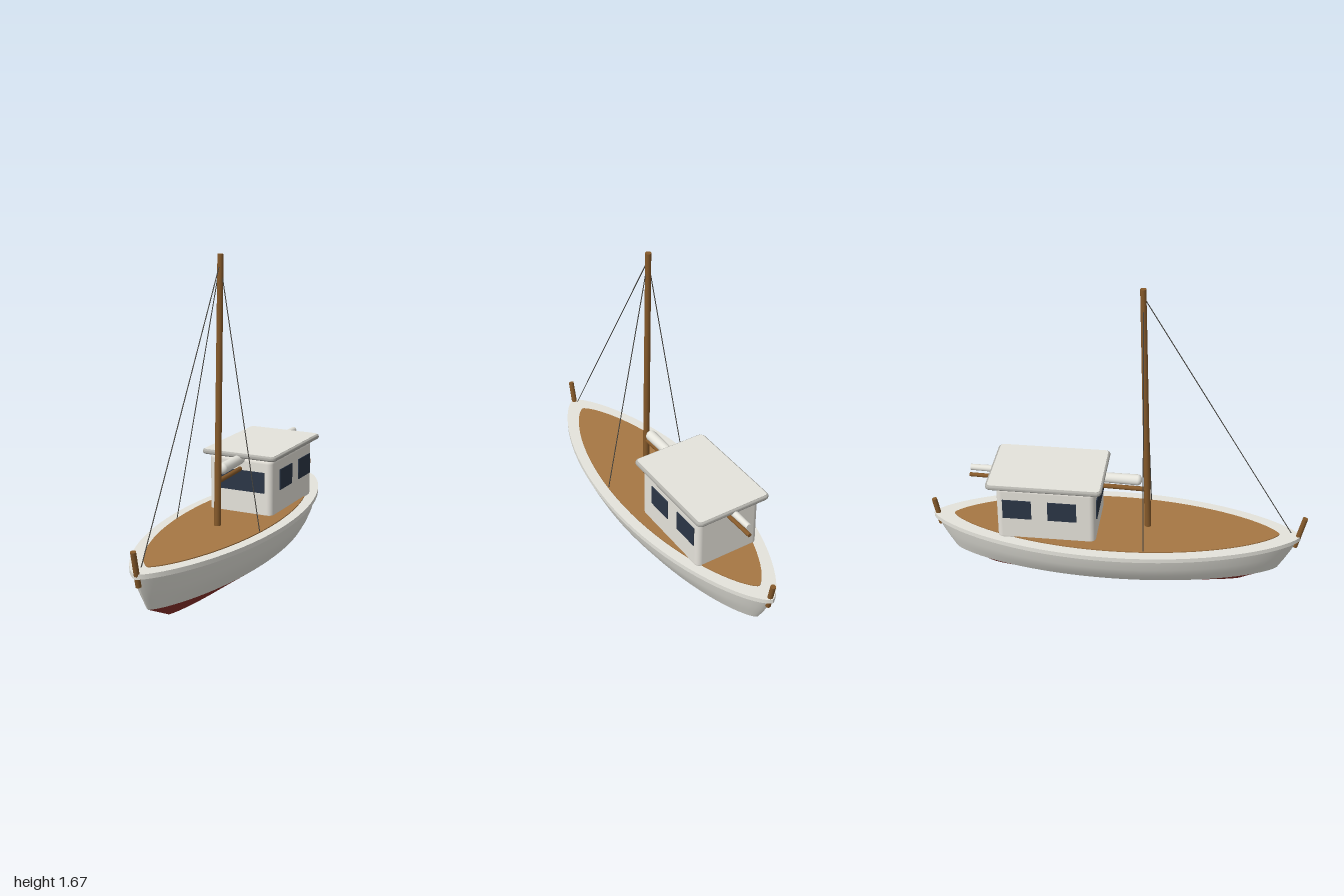
import * as THREE from 'three';
import { toCreasedNormals } from 'three/addons/utils/BufferGeometryUtils.js';
import { RoundedBoxGeometry } from 'three/addons/geometries/RoundedBoxGeometry.js';

const SEGMENTS = 72;
const MID_Z = -0.01;

function material(name, color) {
  const m = new THREE.MeshStandardMaterial({ color });
  m.name = name;
  return m;
}

// Double-ended boat outline: half width, half length -> [x, z] points
function outline(halfWidth, halfLength) {
  const points = [];
  for (let i = 0; i < SEGMENTS; i++) {
    const a = (i / SEGMENTS) * Math.PI * 2;
    const s = Math.sin(a);
    points.push([halfWidth * Math.sign(s) * Math.abs(s) ** 1.44, halfLength * Math.cos(a) + MID_Z]);
  }
  return points;
}

// Skin through levels of [y, halfWidth, halfLength], lowest first
function hullSkin(levels, closeBottom) {
  const positions = [];
  const index = [];
  for (const [y, w, l] of levels) for (const [x, z] of outline(w, l)) positions.push(x, y, z);
  for (let k = 0; k < levels.length - 1; k++) {
    for (let i = 0; i < SEGMENTS; i++) {
      const a = k * SEGMENTS + i;
      const b = k * SEGMENTS + ((i + 1) % SEGMENTS);
      index.push(a, b, b + SEGMENTS, a, b + SEGMENTS, a + SEGMENTS);
    }
  }
  if (closeBottom) {
    const centre = positions.length / 3;
    positions.push(0, levels[0][0], MID_Z);
    for (let i = 0; i < SEGMENTS; i++) index.push(centre, (i + 1) % SEGMENTS, i);
  }
  const g = new THREE.BufferGeometry();
  g.setAttribute('position', new THREE.Float32BufferAttribute(positions, 3));
  g.setIndex(index);
  return toCreasedNormals(g, 0.5);
}

// Horizontal slab from a shape, standing on height y, with an optional rounded edge
function slab(shape, y, height, bevel = 0) {
  const g = new THREE.ExtrudeGeometry(shape, {
    depth: height - 2 * bevel, bevelEnabled: bevel > 0,
    bevelThickness: bevel, bevelSize: bevel, bevelOffset: -bevel, bevelSegments: 4,
  });
  g.rotateX(-Math.PI / 2).translate(0, y + bevel, 0);
  return toCreasedNormals(g, 0.5);
}

function boatShape(halfWidth, halfLength) {
  return new THREE.Shape(outline(halfWidth, halfLength).map(([x, z]) => new THREE.Vector2(x, -z)));
}

function roundedRectangle(w, h, r) {
  const s = new THREE.Shape();
  s.absarc(w / 2 - r, h / 2 - r, r, 0, Math.PI / 2);
  s.absarc(r - w / 2, h / 2 - r, r, Math.PI / 2, Math.PI);
  s.absarc(r - w / 2, r - h / 2, r, Math.PI, Math.PI * 1.5);
  s.absarc(w / 2 - r, r - h / 2, r, Math.PI * 1.5, Math.PI * 2);
  return s;
}

export function createModel() {
  const boat = new THREE.Group();
  boat.name = 'boat';

  const white = material('hull white', 0xe5e4dc);
  const cream = material('cabin cream', 0xe6e3db);
  const grey = material('roof edge grey', 0xb0afa9);
  const red = material('bottom red', 0x8f332d);
  const deckWood = material('deck wood', 0xa67744);
  const sparWood = material('spar wood', 0x85592a);
  const glass = material('window glass', 0x2b3646);
  const rope = material('rope', 0x4a4843);

  function add(name, geometry, mat) {
    const mesh = new THREE.Mesh(geometry, mat);
    mesh.name = name;
    boat.add(mesh);
    return mesh;
  }

  // Round bar between two points
  function bar(name, from, to, rFrom, rTo, mat, sides = 16) {
    const a = new THREE.Vector3(...from);
    const b = new THREE.Vector3(...to);
    const dir = b.clone().sub(a);
    const mesh = add(name, new THREE.CylinderGeometry(rTo, rFrom, dir.length(), sides), mat);
    mesh.position.copy(a).add(b).multiplyScalar(0.5);
    mesh.quaternion.setFromUnitVectors(new THREE.Vector3(0, 1, 0), dir.normalize());
  }

  // Hull, rail and deck
  add('hullBottom', hullSkin([[0, 0.07, 0.68], [0.09, 0.205, 0.87]], true), red);
  add('hullSides', hullSkin([[0.09, 0.205, 0.87], [0.145, 0.243, 0.902], [0.2, 0.27, 0.932], [0.275, 0.29, 0.967]], false), white);
  add('rail', slab(boatShape(0.302, 0.98), 0.273, 0.024), white);
  add('deck', slab(boatShape(0.247, 0.868), 0.297, 0.005), deckWood);

  // Bow and stern posts
  bar('bowPost', [0, 0.23, 0.942], [0, 0.41, 0.985], 0.014, 0.014, sparWood);
  bar('sternPost', [0, 0.23, -0.955], [0, 0.38, -0.985], 0.014, 0.014, sparWood);

  // Cabin, roof slab with its edge, and roof top
  add('cabin', new RoundedBoxGeometry(0.364, 0.33, 0.515, 4, 0.03), cream).position.set(0, 0.44, -0.35);
  add('roofEdge', slab(roundedRectangle(0.424, 0.602, 0.03), 0.6, 0.025, 0.011), grey).position.z = -0.358;
  add('roofTop', slab(roundedRectangle(0.402, 0.58, 0.019), 0.624, 0.003), white).position.z = -0.358;

  // Windows
  add('frontWindow', new THREE.BoxGeometry(0.28, 0.11, 0.008), glass).position.set(0, 0.475, -0.091);
  for (const side of [-1, 1]) {
    for (const z of [-0.265, -0.5]) {
      add('sideWindow', new THREE.BoxGeometry(0.008, 0.11, 0.15), glass).position.set(side * 0.183, 0.475, z);
    }
  }

  // Mast, boom and furled sail
  bar('mast', [0, 0.295, 0.165], [0, 1.67, 0.125], 0.0175, 0.015, sparWood);
  bar('boom', [0, 0.53, 0.155], [0, 0.553, -0.78], 0.013, 0.011, sparWood);
  bar('furledSail', [0, 0.585, 0.108], [0, 0.6, -0.772], 0.029, 0.016, white, 20);
  const sailEnd = add('furledSailEnd', new THREE.SphereGeometry(0.029, 20, 12), white);
  sailEnd.position.set(0, 0.585, 0.108);
  sailEnd.scale.z = 0.8;

  // Rigging
  const masthead = [0, 1.63, 0.127];
  bar('forestay', masthead, [0, 0.315, 0.917], 0.0025, 0.0025, rope, 6);
  for (const side of [-1, 1]) bar('shroud', masthead, [side * 0.236, 0.303, 0.162], 0.0025, 0.0025, rope, 6);

  return boat;
}
